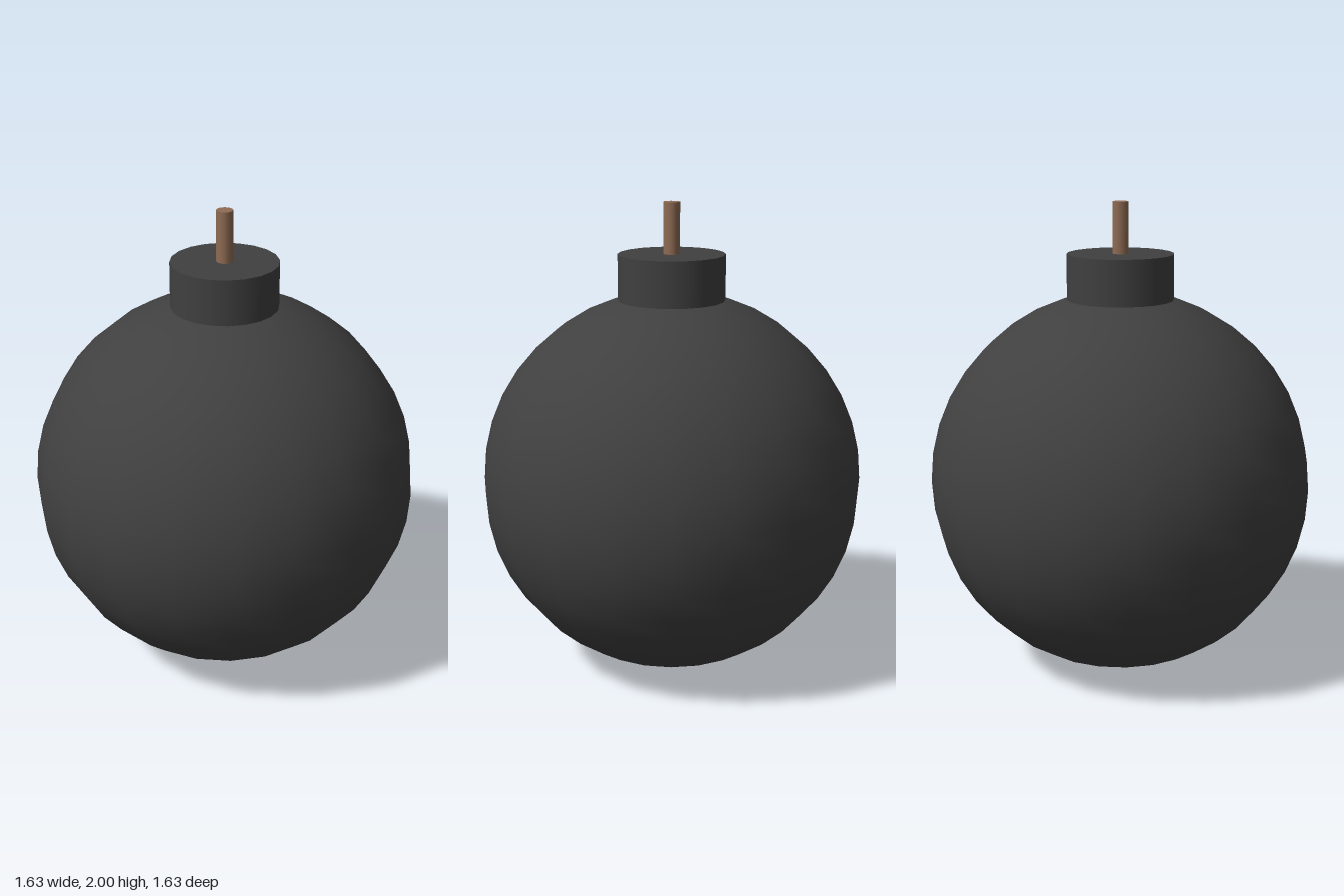
import * as THREE from 'three';

const IRON = new THREE.MeshStandardMaterial({ color: 0x404040 });
const CORD = new THREE.MeshStandardMaterial({ color: 0x8f6c54 });

export function createModel() {
  const group = new THREE.Group();
  const add = (name, geometry, material, y) => {
    const mesh = new THREE.Mesh(geometry, material);
    mesh.name = name;
    mesh.position.y = y;
    group.add(mesh);
  };

  // Upright capped cylinder given by its bottom and top heights
  const post = (name, radius, bottom, top, sides, material) =>
    add(name, new THREE.CylinderGeometry(radius, radius, top - bottom, sides), material, (bottom + top) / 2);

  // Round body resting on the ground
  const R = 0.813;
  add('body', new THREE.SphereGeometry(R, 20, 20), IRON, R);

  // Collar seated in the top of the body, with the fuse standing in it
  post('collar', 0.225, 1.57, 1.785, 20, IRON);
  post('fuse', 0.035, 1.76, 2, 12, CORD);

  return group;
}
